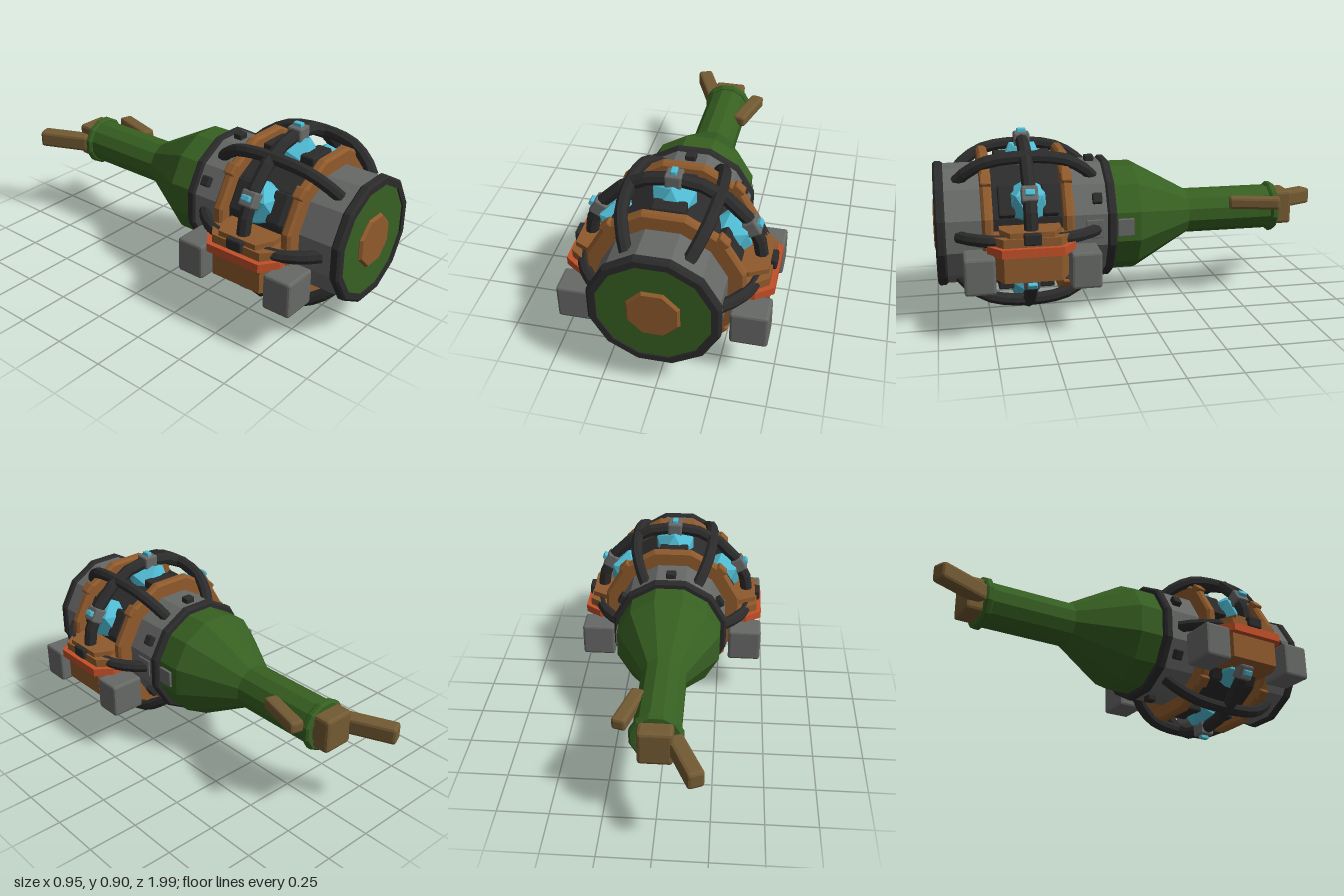
import * as THREE from 'three';
import { RoundedBoxGeometry } from 'three/addons/geometries/RoundedBoxGeometry.js';

const AXIS_Y = 0.45, MID_Z = 0.565;

export function createModel() {
  const model = new THREE.Group();
  model.name = 'bottleDevice';
  const mat = (name, color) => {
    const m = new THREE.MeshStandardMaterial({ color });
    m.name = name;
    return m;
  };
  const green = mat('bottle green', 0x376022), brown = mat('copper brown', 0x8f5a2c);
  const black = mat('charcoal', 0x2b2b2c), gray = mat('steel gray', 0x676967);
  const orange = mat('rust orange', 0xc24f28), cyan = mat('crystal cyan', 0x50bcd4);
  const cork = mat('driftwood', 0x735a33);

  // Faceted normals baked into the geometry
  const faceted = (g) => {
    const f = g.index ? g.toNonIndexed() : g;
    f.computeVertexNormals();
    return f;
  };
  const add = (name, geo, material, parent = model) => {
    const m = new THREE.Mesh(faceted(geo), material);
    m.name = name;
    parent.add(m);
    return m;
  };
  // Turned part along z; profile is [apothem, z], with a flat side on top
  const turned = (name, profile, material, sides = 12) => {
    const k = 1 / Math.cos(Math.PI / sides);
    const pts = profile.map(([r, z]) => new THREE.Vector2(r * k, z));
    const g = new THREE.LatheGeometry(pts, sides, Math.PI / sides);
    g.rotateX(Math.PI / 2);
    g.translate(0, AXIS_Y, 0);
    return add(name, g, material);
  };
  // Hoop with bevelled outer edges
  const hoop = (name, rIn, rOut, z0, z1, material, b = 0.01) =>
    turned(name, [[rIn, z0], [rOut - b, z0], [rOut, z0 + b], [rOut, z1 - b], [rOut - b, z1], [rIn, z1], [rIn, z0]], material);
  const block = (name, size, pos, material, bevel = 0.008, parent = model) => {
    const m = add(name, new RoundedBoxGeometry(...size, 1, bevel), material, parent);
    m.position.set(...pos);
    return m;
  };

  // Bottle
  turned('bottle', [[0, -0.71], [0.108, -0.71], [0.108, -0.25], [0.25, 0.01], [0.26, 0.03], [0.26, 0.18], [0, 0.18]], green);
  hoop('bottleLip', 0.09, 0.123, -0.72, -0.68, green);
  turned('bottleBase', [[0.2, 0.9], [0.26, 0.975], [0.25, 0.982], [0, 0.982]], green);
  turned('basePlug', [[0.11, 0.97], [0.118, 0.985], [0.108, 0.998], [0, 0.998]], brown, 8);

  // Jacket, core and bands
  turned('frontSleeve', [[0.2, 0.72], [0.28, 0.72], [0.28, 0.95], [0.2, 0.95]], gray);
  turned('rearSleeve', [[0.2, 0.17], [0.28, 0.17], [0.28, 0.41], [0.2, 0.41]], gray);
  turned('core', [[0.2, 0.39], [0.295, 0.39], [0.295, 0.75], [0.2, 0.75]], black);
  hoop('frontRim', 0.25, 0.29, 0.943, 0.99, black);
  hoop('rearRim', 0.24, 0.29, 0.15, 0.195, black);
  for (const z of [0.36, 0.73]) hoop('copperHoop', 0.26, 0.355, z, z + 0.05, brown, 0.012);

  // Protective ring of the cage
  add('cageRing', new THREE.TorusGeometry(0.4, 0.032, 8, 20), black).position.set(0, AXIS_Y, MID_Z);

  const sector = (name, angle) => {
    const g = new THREE.Group();
    g.name = name;
    g.position.y = AXIS_Y;
    g.rotation.z = angle;
    model.add(g);
    return g;
  };
  for (let i = 0; i < 6; i++) {
    // Curved cage bar, local +x points outward
    const bar = sector('cageBar', i * Math.PI / 3);
    const path = new THREE.CatmullRomCurve3(
      [[0.265, 0.885], [0.32, 0.835], [0.378, 0.74], [0.4, MID_Z], [0.378, 0.39], [0.32, 0.295], [0.265, 0.245]]
        .map(([r, z]) => new THREE.Vector3(r, 0, z)));
    add('curvedBar', new THREE.TubeGeometry(path, 12, 0.03, 8), black, bar);

    // Lamp housing, crystal and armour between the bars
    const lamp = sector('lampUnit', Math.PI / 6 + i * Math.PI / 3);
    block('lampHousing', [0.065, 0.075, 0.075], [0.4, 0, MID_Z], gray, 0.008, lamp);
    block('lampLens', [0.03, 0.028, 0.045], [0.435, 0, MID_Z], cyan, 0.005, lamp);
    const crystal = add('crystal', new THREE.IcosahedronGeometry(0.115, 0), cyan, lamp);
    crystal.position.set(0.285, 0, MID_Z);
    for (const dz of [-0.1, 0.1])
      block('corePlate', [0.06, 0.15, 0.075], [0.305, 0, MID_Z + dz], black, 0.008, lamp);
    block('rearStud', [0.045, 0.05, 0.045], [0.285, 0, 0.24], black, 0.006, lamp);
  }

  // Small clamps on the copper hoops
  for (let i = 0; i < 4; i++) {
    const clamp = sector('hoopClamps', Math.PI / 4 + i * Math.PI / 2);
    for (const z of [0.385, 0.755])
      block('hoopClamp', [0.035, 0.06, 0.05], [0.358, 0, z], brown, 0.008, clamp);
  }

  // Side pods: trapezoid slabs stacked in y
  const slab = (name, s, xIn, xOut, halfLong, halfShort, y0, y1, material) => {
    const xMid = xOut - 0.08;
    const pts = [[xIn, -halfLong], [xMid, -halfLong], [xOut, -halfShort], [xOut, halfShort], [xMid, halfLong], [xIn, halfLong]];
    const shape = new THREE.Shape(pts.map(([x, z]) => new THREE.Vector2(s * x, z)));
    const g = new THREE.ExtrudeGeometry(shape, { depth: y1 - y0, bevelEnabled: false });
    g.rotateX(-Math.PI / 2);
    g.translate(0, y0, MID_Z);
    add(name, g, material);
  };
  for (const s of [1, -1]) {
    slab('podTrim', s, 0.22, 0.475, 0.2, 0.14, 0.395, 0.435, orange);
    slab('podTop', s, 0.22, 0.45, 0.19, 0.13, 0.435, 0.475, brown);
    slab('podCap', s, 0.22, 0.44, 0.14, 0.1, 0.475, 0.5, brown);
    slab('podBelly', s, 0.22, 0.445, 0.17, 0.13, 0.27, 0.395, brown);
    block('podLatch', [0.04, 0.055, 0.08], [s * 0.447, 0.472, MID_Z], black);
    for (const z of [0.325, 0.803])
      block('sideTank', [0.17, 0.17, 0.14], [s * 0.39, 0.315, z], gray, 0.012);
  }

  // Plates on the left flank
  block('flankPlate', [0.02, 0.085, 0.08], [0.262, 0.45, 0.105], gray, 0.004);
  block('flankPlate', [0.02, 0.09, 0.085], [0.277, 0.455, 0.255], gray, 0.004);

  // Stopper and wooden splinters at the mouth
  block('stopper', [0.16, 0.17, 0.1], [0, 0.455, -0.75], cork, 0.015);
  block('longSplinter', [0.08, 0.085, 0.275], [-0.135, 0.453, -0.855], cork, 0.015).rotation.y = 0.41;
  block('shortSplinter', [0.07, 0.06, 0.255], [0.135, 0.505, -0.58], cork, 0.014).rotation.y = -0.28;

  return model;
}
